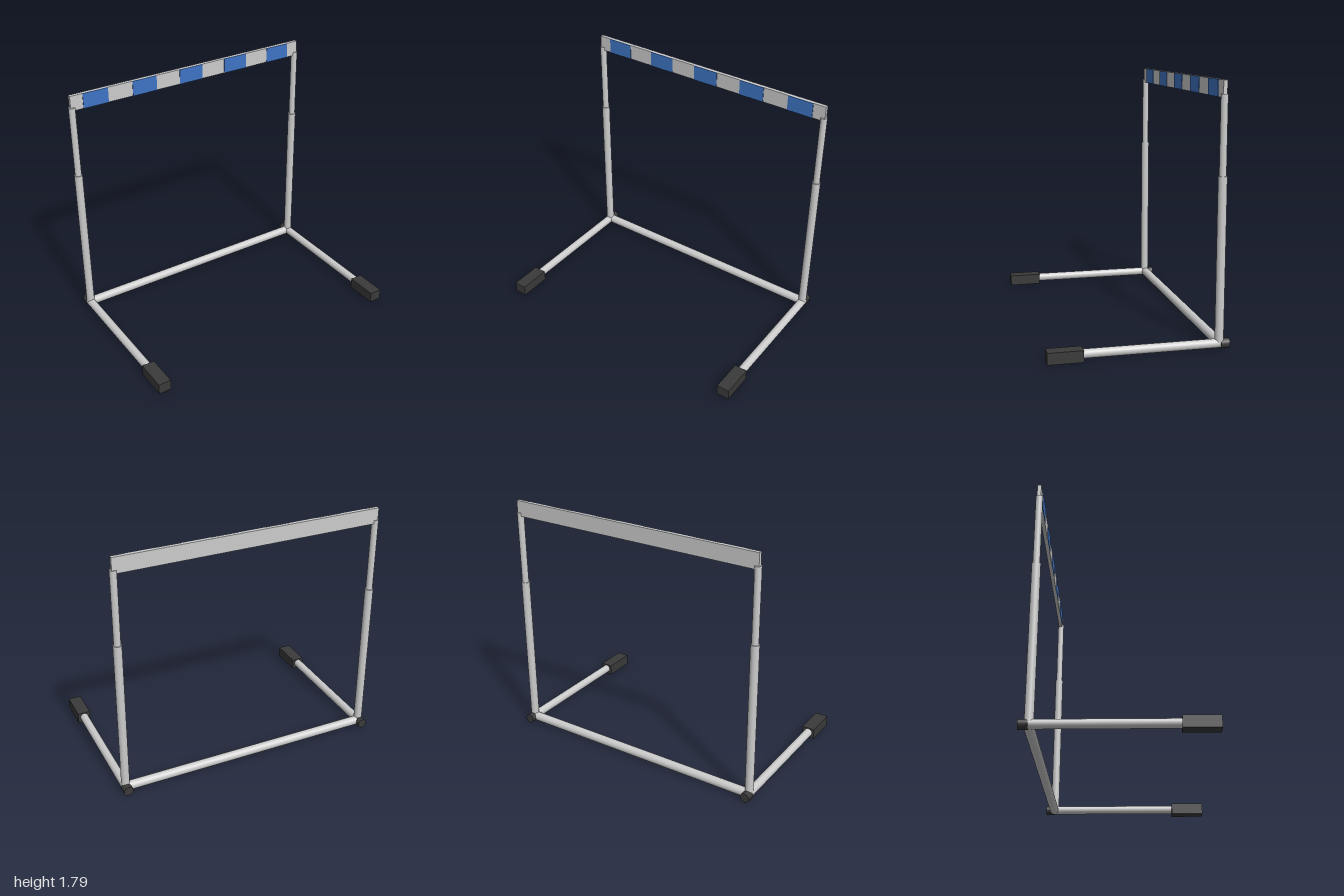
import * as THREE from 'three';

const grey = new THREE.MeshStandardMaterial({ color: 0xcccccc });
const black = new THREE.MeshStandardMaterial({ color: 0x3a3a3a });
const blue = new THREE.MeshStandardMaterial({ color: 0x3f74c4 });

const SIDE = 0.953, BACK = -0.55, LOW = 0.043;

export function createModel() {
  const group = new THREE.Group();

  const add = (name, geometry, material, x, y, z) => {
    const mesh = new THREE.Mesh(geometry, material);
    mesh.name = name;
    mesh.position.set(x, y, z);
    group.add(mesh);
    return mesh;
  };
  const tube = (radius, length) => new THREE.CylinderGeometry(radius, radius, length, 32);
  const box = (w, h, d) => new THREE.BoxGeometry(w, h, d);

  for (const s of [-1, 1]) {
    const side = s > 0 ? 'left' : 'right';
    const x = s * SIDE;
    // Telescopic upright
    add(side + 'LowerPost', tube(0.03, 1.13), grey, x, 0.605, BACK);
    add(side + 'UpperPost', tube(0.024, 0.55), grey, x, 1.425, BACK);
    // Floor leg with its rear cap and front foot block
    add(side + 'Leg', tube(0.031, 0.95).rotateX(Math.PI / 2), grey, x, LOW, -0.085);
    add(side + 'RearCap', tube(0.034, 0.062).rotateX(Math.PI / 2), black, x, 0.041, -0.586);
    add(side + 'Foot', box(0.094, 0.08, 0.24), black, x, 0.04, 0.497);
  }

  // Rail joining the two legs along the floor
  add('baseRail', tube(0.033, 2 * SIDE).rotateZ(Math.PI / 2), grey, 0, LOW, -0.555);

  // Crossbar board with coloured panels on the front
  add('crossbar', box(1.932, 0.113, 0.027), grey, 0, 1.7325, -0.5515);
  for (let i = -2; i <= 2; i++) {
    add('bluePanel', box(0.194, 0.113, 0.004), blue, i * 0.387, 1.7325, -0.536);
  }

  return group;
}
